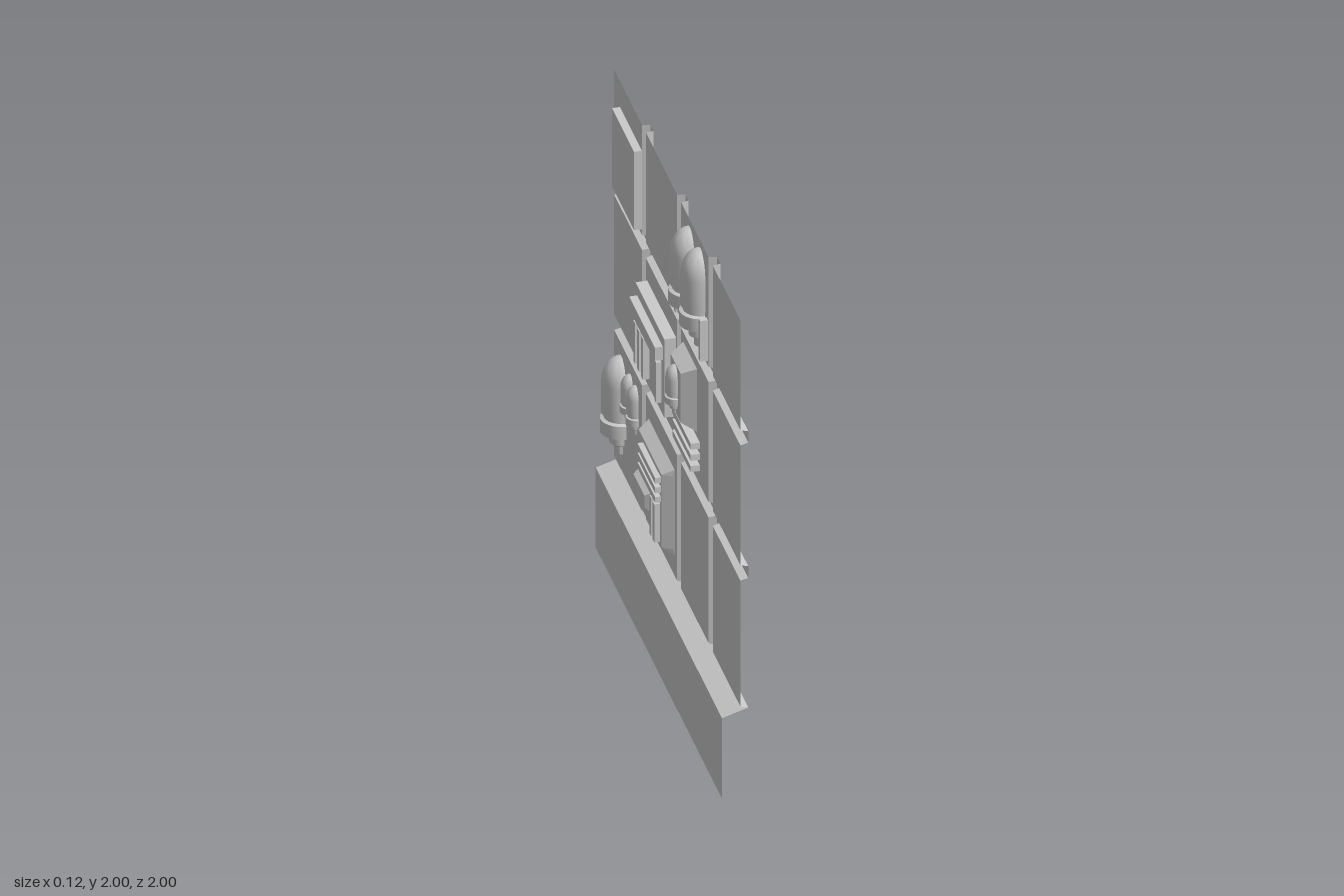
import * as THREE from 'three';
import { toCreasedNormals } from 'three/addons/utils/BufferGeometryUtils.js';

const mat = new THREE.MeshStandardMaterial({ color: 0xcccccc, side: THREE.DoubleSide });
const WALL = 0.03, GROOVE = 0.06, SKIRT = -0.04, SHARP = 0.001;

// Pressed areas of the sheet: [z0, z1, y0, y1, bevel, x of the pressed face]
const presses = [];
const columns = [[-2, -0.55], [-0.503, 0.005], [0.053, 0.503], [0.556, 2]];
const rows = [[0.37, 0.914], [0.963, 1.482], [1.53, 3]];
for (const c of columns) for (const r of rows) presses.push([...c, ...r, 0.008, WALL]);
presses.push(
  [-0.91, -0.56, 1.56, 1.89, SHARP, 0.0],          // plain raised plate
  [-0.475, -0.017, 1.06, 1.39, SHARP, -0.015],     // vent plate
  [-0.45, -0.04, 1.29, 1.347, SHARP, -0.045],      // long bar on the vent plate
  [0.095, 0.313, 1.17, 1.433, 0.029, -0.025],      // bevelled plate with canister
  [-0.453, -0.037, 0.465, 0.823, 0.026, -0.015],   // large bevelled plate
  [-0.4, -0.19, 0.568, 0.655, 0.018, -0.045],      // block on the large plate
);

const clamp = THREE.MathUtils.clamp;

// Depth of the sheet at a point
function depthAt(y, z) {
  if (y < 0.36) return SKIRT;
  return presses.reduce((x, [z0, z1, y0, y1, bevel, face]) => {
    const inside = Math.min(z - z0, z1 - z, y - y0, y1 - y) / bevel;
    return x + (face - x) * clamp(inside, 0, 1);
  }, GROOVE);
}

// Sorted grid lines where the sheet bends
function breaks(a, b, lo, hi, extra) {
  const list = [lo, hi, ...extra];
  for (const p of presses) list.push(p[a], p[a] + p[4], p[b] - p[4], p[b]);
  return [...new Set(list.map(v => +v.toFixed(4)))].filter(v => v >= lo && v <= hi).sort((m, n) => m - n);
}

function wallGeometry() {
  const zs = breaks(0, 1, -1, 1, []);
  const ys = breaks(2, 3, 0, 2, [0.337]);
  const pos = [];
  const point = (y, z) => [depthAt(y, z), y, z];
  for (let j = 0; j < ys.length - 1; j++) {
    for (let i = 0; i < zs.length - 1; i++) {
      const a = point(ys[j], zs[i]), b = point(ys[j], zs[i + 1]);
      const c = point(ys[j + 1], zs[i + 1]), d = point(ys[j + 1], zs[i]);
      // split along the steeper diagonal so bevel corners are mitred
      const tris = Math.abs(a[0] - c[0]) >= Math.abs(b[0] - d[0]) ? [a, b, c, a, c, d] : [a, b, d, b, c, d];
      pos.push(...tris.flat());
    }
  }
  const geo = new THREE.BufferGeometry();
  geo.setAttribute('position', new THREE.Float32BufferAttribute(pos, 3));
  geo.computeVertexNormals();
  return geo;
}

// Half-round canister: nozzle, collar, neck, body and dome
function canisterGeometry() {
  const pts = [[0, 0], [0.024, 0], [0.024, 0.03], [0.045, 0.045], [0.045, 0.085], [0.08, 0.09],
    [0.08, 0.145], [0.066, 0.15], [0.066, 0.165], [0.076, 0.17], [0.076, 0.295]];
  for (let i = 1; i <= 6; i++) {
    const t = (i / 6) * Math.PI / 2;
    pts.push([0.076 * Math.cos(t), 0.295 + 0.105 * Math.sin(t)]);
  }
  const profile = pts.map(([r, y]) => new THREE.Vector2(Math.max(r, 0), y));
  return toCreasedNormals(new THREE.LatheGeometry(profile, 16, Math.PI, Math.PI), 0.6);
}

export function createModel() {
  const group = new THREE.Group();
  const add = (geo, name) => {
    const mesh = new THREE.Mesh(geo, mat);
    mesh.name = name;
    group.add(mesh);
    return mesh;
  };

  add(wallGeometry(), 'wallPanel');

  // Canisters: top y, z, base x, scale
  const canister = canisterGeometry();
  for (const [top, z, x, s] of [
    [1.97, 0.2, WALL, 1], [1.97, 0.37, WALL, 1], [0.857, -0.885, WALL, 1],
    [0.857, -0.74, WALL, 0.5], [0.857, -0.65, WALL, 0.5], [1.4, 0.2, -0.025, 0.5],
  ]) {
    const m = add(canister, 'canister');
    m.scale.setScalar(s);
    m.position.set(x, top - 0.4 * s, z);
  }

  // Box bar standing on the face at x, towards -x
  const bar = (name, x, height, y, h, z, w) => {
    const m = add(new THREE.BoxGeometry(height, h, w), name);
    m.position.set(x - height / 2 - 0.0005, y, z);
  };

  for (const z of [0.085, 0.475]) bar('canisterBracket', WALL, 0.03, 1.645, 0.17, z, 0.025);
  for (let i = 0; i < 3; i++) {
    bar('lowerSlat', WALL, 0.035, 1.042 + i * 0.047, 0.025, 0.215, 0.29);
    bar('ventBar', -0.015, 0.025, 1.185, 0.17, -0.265 - i * 0.062, 0.028);
    bar('plateSlat', -0.015, 0.022, 0.69 + i * 0.04, 0.024, -0.21, 0.28);
  }
  bar('sideBar', -0.015, 0.02, 1.185, 0.17, -0.075, 0.025);
  for (const z of [-0.095, -0.145]) bar('plateBar', -0.015, 0.022, 0.585, 0.16, z, 0.025);

  return group;
}
